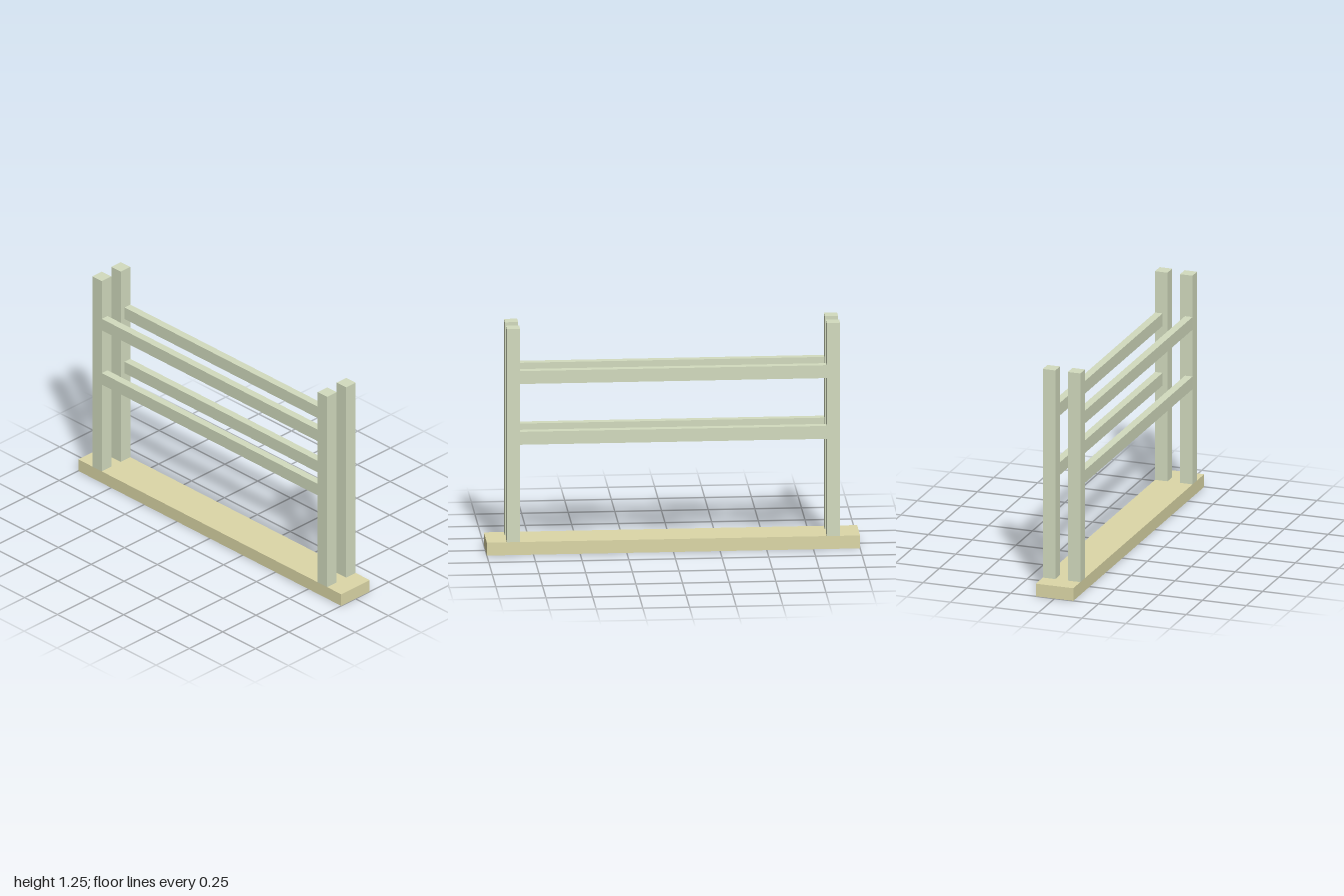
import * as THREE from 'three';

export function createModel() {
  const group = new THREE.Group();
  const green = new THREE.MeshStandardMaterial({ color: 0xd3dcbf });
  const tan = new THREE.MeshStandardMaterial({ color: 0xddd8a8 });

  const T = 0.0714; // timber width
  const HALF_DEPTH = 0.107;
  const HEIGHT = 1.25;
  const POST_X = 0.857;
  const RAIL_DEPTH = 0.043;

  function addBox(name, size, position, material) {
    const mesh = new THREE.Mesh(new THREE.BoxGeometry(...size), material);
    mesh.name = name;
    mesh.position.set(...position);
    group.add(mesh);
  }

  // Base plank
  addBox('base', [2, T, 2 * HALF_DEPTH], [0, T / 2, 0], tan);

  // Front and back frames, flush with the long edges of the base
  for (const [side, sz] of [['front', 1], ['back', -1]]) {
    // Posts
    for (const [end, sx] of [['Left', 1], ['Right', -1]]) {
      addBox(`${side}${end}Post`, [T, HEIGHT - T, T],
        [sx * POST_X, (HEIGHT + T) / 2, sz * (HALF_DEPTH - T / 2)], green);
    }
    // Thinner rails between the posts, flush with their outer faces
    for (const [level, y] of [['Lower', 0.645], ['Upper', 0.981]]) {
      addBox(`${side}${level}Rail`, [2 * POST_X - T, T, RAIL_DEPTH],
        [0, y, sz * (HALF_DEPTH - RAIL_DEPTH / 2)], green);
    }
  }
  return group;
}
